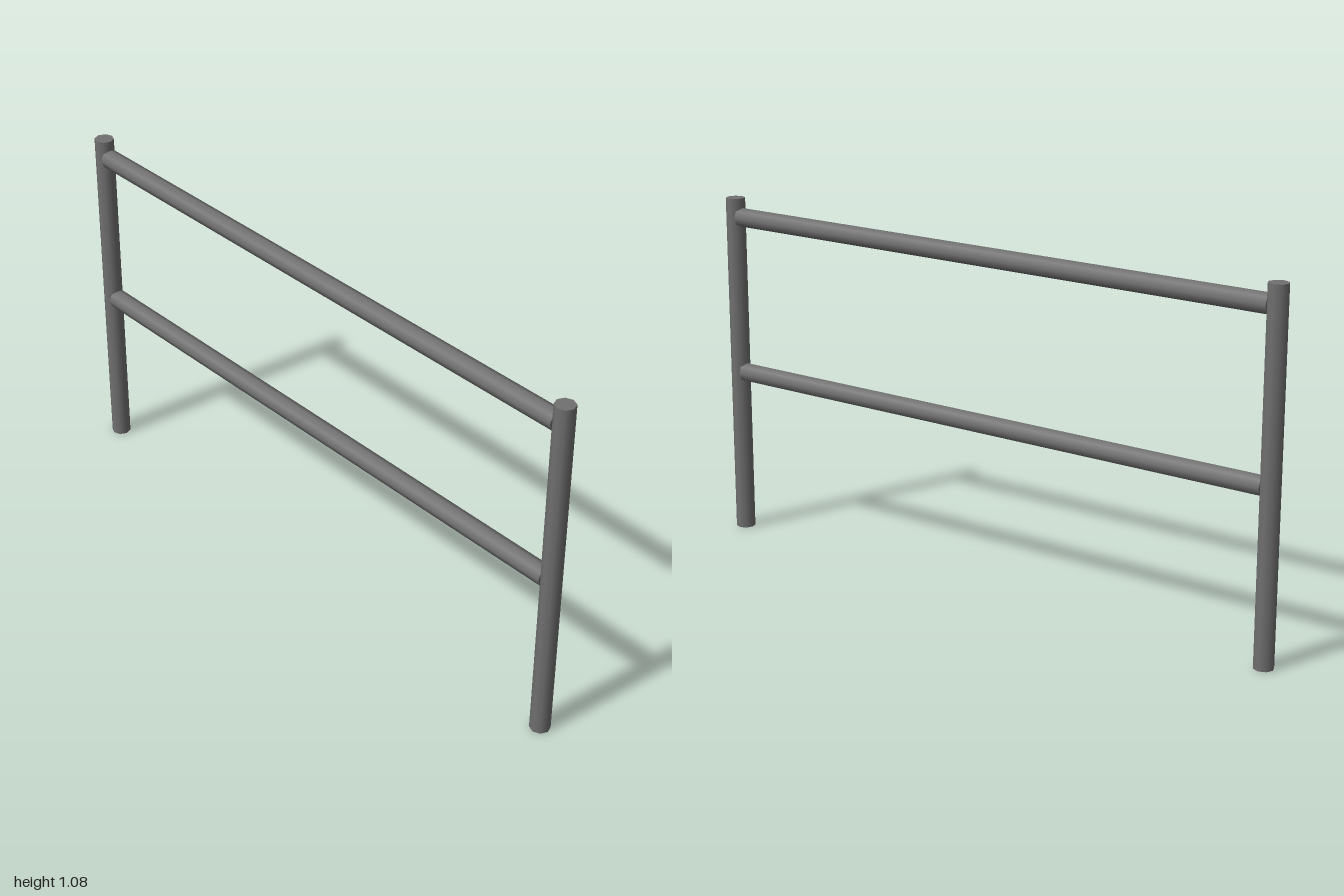
import * as THREE from 'three';

const RADIUS = 0.03;
const SIDES = 8;
const POST_HEIGHT = 1.08;
const POST_X = 0.97;
const RAIL_LENGTH = 1.9;

export function createModel() {
  const group = new THREE.Group();
  group.name = 'railing';
  const metal = new THREE.MeshStandardMaterial({ color: 0x707070 });

  const addBar = (name, length) => {
    const bar = new THREE.Mesh(new THREE.CylinderGeometry(RADIUS, RADIUS, length, SIDES), metal);
    bar.name = name;
    group.add(bar);
    return bar;
  };

  // Upright posts
  for (const [name, side] of [['leftPost', 1], ['rightPost', -1]]) {
    addBar(name, POST_HEIGHT).position.set(side * POST_X, POST_HEIGHT / 2, 0);
  }

  // Horizontal rails, ends sunk into the posts
  for (const [name, y] of [['topRail', 1.02], ['middleRail', 0.52]]) {
    const rail = addBar(name, RAIL_LENGTH);
    rail.rotation.z = Math.PI / 2;
    rail.position.y = y;
  }

  return group;
}
